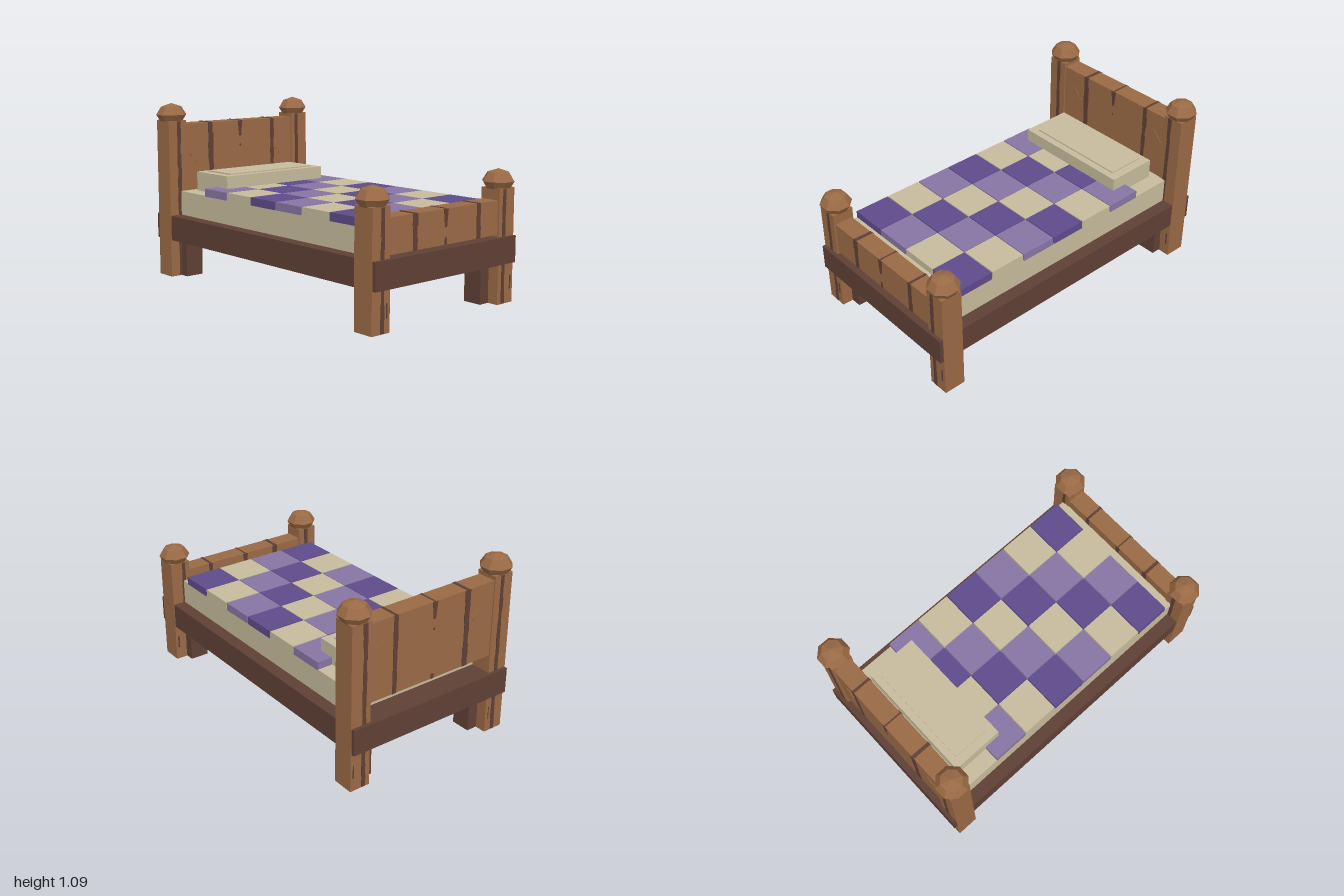
import * as THREE from 'three';

const mat = (name, color) => {
  const m = new THREE.MeshStandardMaterial({ color });
  m.name = name;
  return m;
};

export function createModel() {
  const wood = mat('wood', 0x9a6a45);
  const dark = mat('dark wood', 0x5f4035);
  const cream = mat('cream cloth', 0xc6bb9c);
  const lilac = mat('lilac cloth', 0x8875a3);
  const purple = mat('purple cloth', 0x5d4b8a);
  wood.flatShading = true;

  const bed = new THREE.Group();
  bed.name = 'bed';

  // Small seeded generator for the ragged grain
  let seed = 7;
  const rand = () => (seed = (seed * 16807) % 2147483647) / 2147483647;

  const add = (name, geometry, material, parent = bed) => {
    const mesh = new THREE.Mesh(geometry, material);
    mesh.name = name;
    parent.add(mesh);
    return mesh;
  };

  // Box given by its lower and upper bounds on each axis
  const box = (name, material, [x0, x1], [y0, y1], [z0, z1], parent) => {
    const mesh = add(name, new THREE.BoxGeometry(x1 - x0, y1 - y0, z1 - z0), material, parent);
    mesh.position.set((x0 + x1) / 2, (y0 + y1) / 2, (z0 + z1) / 2);
    return mesh;
  };

  // Thin flat plate from an outline, lying on a face at z and facing dir
  const plate = (name, material, points, z, dir, parent) => {
    const shape = new THREE.Shape(points.map(([x, y]) => new THREE.Vector2(x, y)));
    const t = 0.003;
    const mesh = add(name, new THREE.ExtrudeGeometry(shape, { depth: t, bevelEnabled: false }), material, parent);
    mesh.position.z = dir > 0 ? z : z - t;
    return mesh;
  };

  // Grain stripe with stepped, uneven sides
  const stripe = (x0, x1, y0, y1, z, dir, parent) => {
    const steps = Math.max(1, Math.round((y1 - y0) / 0.07));
    const left = [], right = [];
    for (let i = 0; i < steps; i++) {
      const a = y0 + ((y1 - y0) * i) / steps;
      const b = y0 + ((y1 - y0) * (i + 1)) / steps;
      const l = x0 + rand() * 0.006, r = x1 - rand() * 0.006;
      right.push([r, a], [r, b]);
      left.unshift([l, b], [l, a]);
    }
    plate('grainStripe', dark, [...right, ...left], z, dir, parent);
  };

  // Frame, mattress and inner feet
  box('frame', dark, [-0.552, 0.552], [0.235, 0.39], [-1, 1]);
  box('mattress', cream, [-0.475, 0.475], [0.39, 0.54], [-0.85, 0.85]);
  for (const sx of [-1, 1]) {
    for (const sz of [-1, 1]) {
      const foot = box('innerFoot', dark, [-0.06, 0.06], [0, 0.24], [-0.06, 0.06]);
      foot.position.x = sx * 0.42;
      foot.position.z = sz * 0.85;
    }
  }

  // Corner posts with faceted finials
  const finialProfile = [[0, -0.052], [0.062, -0.052], [0.095, 0], [0.064, 0.05], [0, 0.071]]
    .map(([r, y]) => new THREE.Vector2(r, y));
  const finialGeometry = new THREE.LatheGeometry(finialProfile, 8, Math.PI / 8);
  for (const sz of [-1, 1]) {
    const top = sz > 0 ? 0.665 : 0.985;
    for (const sx of [-1, 1]) {
      const post = new THREE.Group();
      post.name = sz > 0 ? 'footPost' : 'headPost';
      post.position.set(sx * 0.492, 0, sz * 0.912);
      bed.add(post);
      box('postShaft', wood, [-0.064, 0.064], [0, top], [-0.066, 0.066], post);
      add('finial', finialGeometry, wood, post).position.y = top + 0.035;
      const s = sx < 0 ? -0.006 : -0.037;
      for (const dir of [-1, 1]) {
        stripe(s, s + 0.03, 0.003, top - 0.005, dir * 0.066, dir, post);
        stripe(0.036, 0.05, 0.08, 0.16, dir * 0.066, dir, post);
      }
    }
  }

  // Headboard and footboard, with grain on both faces and over the top
  const board = (name, y0, y1, z0, z1) => {
    const g = new THREE.Group();
    g.name = name;
    bed.add(g);
    box('panel', wood, [-0.435, 0.435], [y0, y1], [z0, z1], g);
    for (const [x0, x1] of [[-0.255, -0.215], [0.248, 0.283], [-0.013, 0.013]]) {
      const centre = x0 === -0.013;
      const inset = centre ? 0.009 : 0.01;
      box('topGrain', dark, [x0 + inset, x1 - inset], [y1, y1 + 0.003], [z0, z1], g);
      for (const [z, dir] of [[z0, -1], [z1, 1]]) {
        if (!centre) {
          stripe(x0, x1, y0, y1, z, dir, g);
          continue;
        }
        // Broken centre grain: a wedge from the top, a knot and a chip below
        plate('grainWedge', dark, [[-0.007, y1 - 0.1], [0.007, y1 - 0.1], [0.012, y1 - 0.05],
          [0.018, y1], [-0.018, y1], [-0.012, y1 - 0.05]], z, dir, g);
        const k = y1 - 0.16;
        plate('knot', dark, [[0, k - 0.01], [0.006, k], [0, k + 0.01], [-0.006, k]], z, dir, g);
        stripe(-0.013, 0.013, y0, y0 + 0.03, z, dir, g);
      }
    }
    return g;
  };
  board('footboard', 0.404, 0.6, 0.855, 0.967);
  const head = board('headboard', 0.5, 0.96, -0.97, -0.855);

  // Diamond inlays on both faces of the headboard
  for (const x of [-0.342, 0.342]) {
    for (const [z, dir] of [[-0.97, -1], [-0.855, 1]]) {
      plate('diamond', wood, [[x, 0.71], [x + 0.07, 0.78], [x, 0.85], [x - 0.07, 0.78]], z, dir, head);
    }
  }

  // Patchwork quilt in diagonal bands of three colours
  const quilt = new THREE.Group();
  quilt.name = 'quilt';
  bed.add(quilt);
  const cloth = [lilac, cream, purple];
  for (let r = 0; r < 6; r++) {
    for (let c = 0; c < 4; c++) {
      const x = -0.478 + c * 0.239, z = -0.587 + r * 0.23;
      box('patch', cloth[(r + c) % 3], [x + 0.002, x + 0.237], [0.535, 0.583], [z + 0.003, z + 0.227], quilt);
    }
  }

  // Pillow with a raised centre panel
  box('pillow', cream, [-0.38, 0.38], [0.54, 0.66], [-0.803, -0.483]);
  box('pillowPanel', cream, [-0.325, 0.325], [0.66, 0.668], [-0.76, -0.528]);

  return bed;
}
